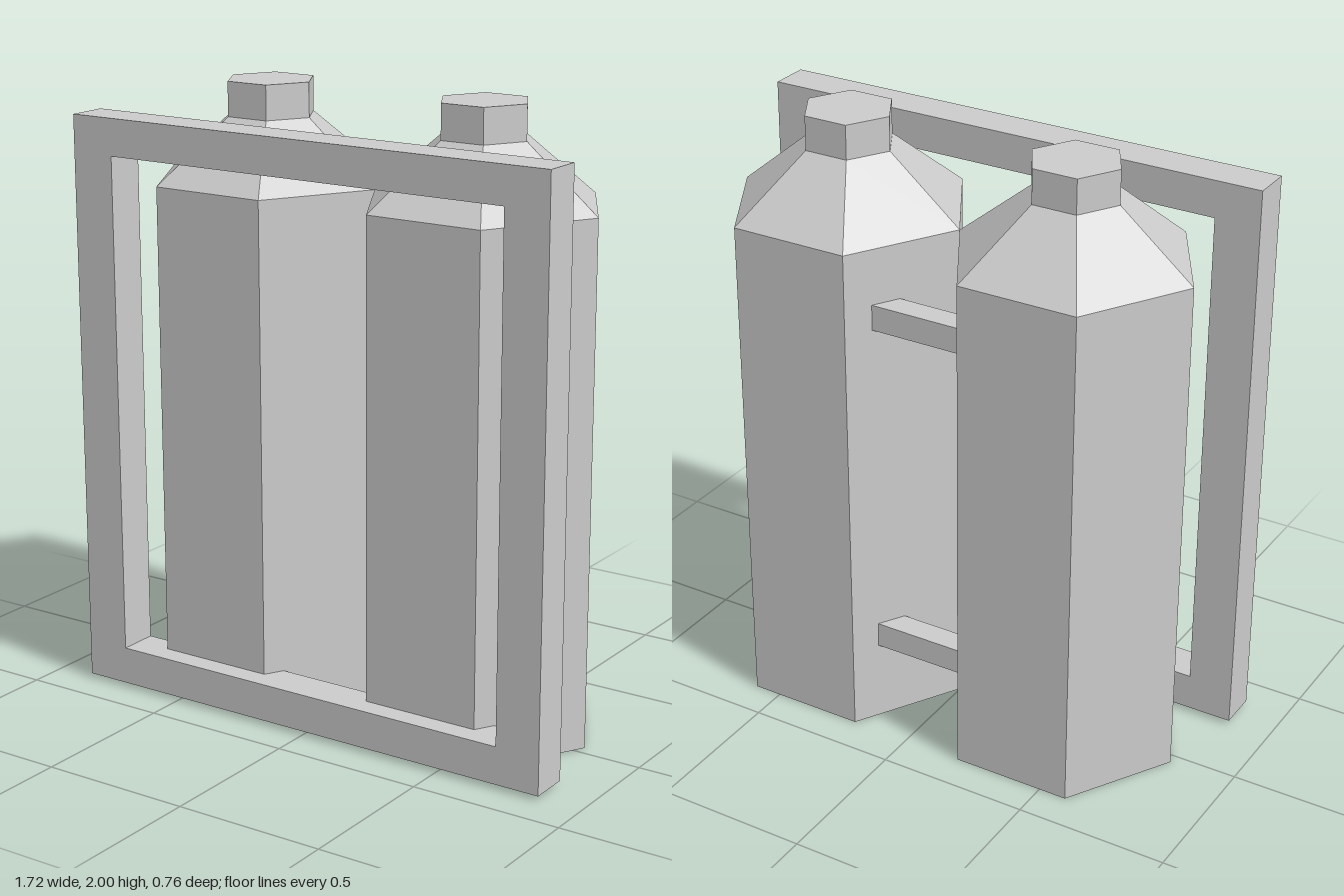
import * as THREE from 'three';

const material = new THREE.MeshStandardMaterial({ color: 0xcccccc, flatShading: true });

function addMesh(parent, name, geometry, x = 0, y = 0, z = 0) {
  const mesh = new THREE.Mesh(geometry, material);
  mesh.name = name;
  mesh.position.set(x, y, z);
  parent.add(mesh);
  return mesh;
}

// Hexagonal bottle: straight body, tapered shoulder and a small cap
function createBottle(name) {
  const bottle = new THREE.Group();
  bottle.name = name;
  const profile = [[0, 0], [0.395, 0], [0.395, 1.685], [0.148, 1.888]]
    .map(([r, y]) => new THREE.Vector2(r, y));
  const turn = Math.PI / 6; // corners point along x
  addMesh(bottle, 'bottleBody', new THREE.LatheGeometry(profile, 6, turn));
  addMesh(bottle, 'bottleCap', new THREE.CylinderGeometry(0.148, 0.148, 0.112, 6, 1, false, turn), 0, 1.944);
  return bottle;
}

// Rectangular frame with one large opening
function createFrameGeometry() {
  const rect = (Type, w, y0, y1) => {
    const path = new Type();
    path.moveTo(-w, y0);
    path.lineTo(w, y0);
    path.lineTo(w, y1);
    path.lineTo(-w, y1);
    path.closePath();
    return path;
  };
  const shape = rect(THREE.Shape, 0.861, 0.015, 1.9);
  shape.holes.push(rect(THREE.Path, 0.712, 0.138, 1.78));
  return new THREE.ExtrudeGeometry(shape, { depth: 0.132, bevelEnabled: false });
}

export function createModel() {
  const model = new THREE.Group();
  model.name = 'twinBottleRack';

  // Pair of bottles touching at the centre
  for (const side of [-1, 1]) {
    const bottle = createBottle(side > 0 ? 'leftBottle' : 'rightBottle');
    bottle.position.set(side * 0.395, 0, -0.036);
    model.add(bottle);
  }

  // Front frame
  addMesh(model, 'frontFrame', createFrameGeometry(), 0, 0, 0.246);

  // Rear bars joining the bottles
  addMesh(model, 'upperBar', new THREE.BoxGeometry(0.79, 0.084, 0.084), 0, 1.46, -0.256);
  addMesh(model, 'lowerBar', new THREE.BoxGeometry(0.79, 0.084, 0.084), 0, 0.315, -0.256);

  return model;
}
